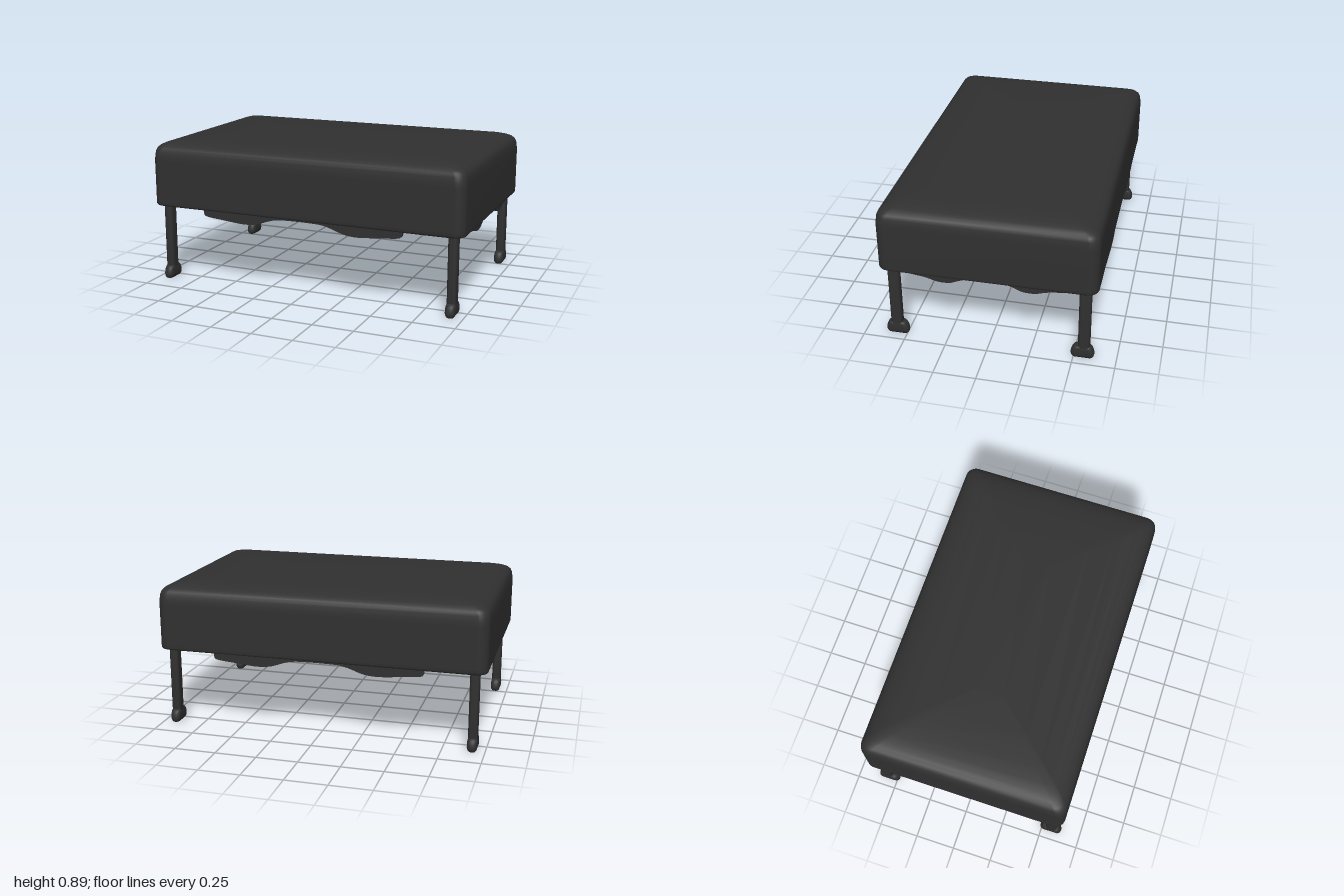
import * as THREE from 'three';

const charcoal = new THREE.MeshStandardMaterial({ color: 0x303030 });
charcoal.name = 'charcoal';

// Closed solid from stacked rounded rectangles: each ring is [halfX, halfZ, y, cornerRadius]
function loft(rings, seg = 6) {
  const pos = [], index = [];
  const n = 4 * (seg + 1);
  for (const [hx, hz, y, r] of rings) {
    for (let q = 0; q < 4; q++) {
      const sx = q === 0 || q === 3 ? 1 : -1, sz = q < 2 ? 1 : -1;
      for (let i = 0; i <= seg; i++) {
        const a = (q + i / seg) * Math.PI / 2;
        pos.push(sx * (hx - r) + r * Math.cos(a), y, sz * (hz - r) + r * Math.sin(a));
      }
    }
  }
  const last = rings.length - 1;
  for (let k = 0; k < last; k++) {
    for (let i = 0; i < n; i++) {
      const a = k * n + i, b = k * n + (i + 1) % n;
      index.push(a, a + n, b, b, a + n, b + n);
    }
  }
  const low = pos.length / 3;
  pos.push(0, rings[0][2], 0, 0, rings[last][2], 0);
  for (let i = 0; i < n; i++) {
    const j = (i + 1) % n;
    index.push(low, i, j, low + 1, last * n + j, last * n + i);
  }
  const g = new THREE.BufferGeometry();
  g.setAttribute('position', new THREE.Float32BufferAttribute(pos, 3));
  g.setIndex(index);
  g.computeVertexNormals();
  return g;
}

// Wavy apron plate, mirrored about its middle; points run from the centre outwards
function apron(points, thickness) {
  const half = new THREE.SplineCurve(points.map(([x, y]) => new THREE.Vector2(x, y))).getPoints(24);
  const s = new THREE.Shape();
  const end = half[half.length - 1].x;
  s.moveTo(-end, 0.5);
  for (let i = half.length - 1; i > 0; i--) s.lineTo(-half[i].x, half[i].y);
  for (const p of half) s.lineTo(p.x, p.y);
  s.lineTo(end, 0.5);
  s.closePath();
  const g = new THREE.ExtrudeGeometry(s, { depth: thickness, bevelEnabled: false });
  g.translate(0, 0, -thickness / 2);
  return g;
}

export function createModel() {
  const model = new THREE.Group();
  const add = (name, geometry, x = 0, y = 0, z = 0, turn = 0) => {
    const mesh = new THREE.Mesh(geometry, charcoal);
    mesh.name = name;
    mesh.position.set(x, y, z);
    mesh.rotation.y = turn;
    model.add(mesh);
  };

  // Upholstered block with a gently crowned top: [inset, y]
  const profile = [
    [0.04, 0.477], [0.012, 0.477], [0.004, 0.481], [0, 0.49], [0, 0.51], [0, 0.76], [0.002, 0.79],
    [0.006, 0.82], [0.014, 0.84], [0.03, 0.856], [0.055, 0.868], [0.09, 0.878],
    [0.14, 0.885], [0.22, 0.89], [0.36, 0.894], [0.55, 0.895],
  ];
  add('cushion', loft(profile.map(([d, y]) =>
    [1 - d, 0.636 - d, y, Math.max(0.06 - d * 0.1, 0.01)]), 8));

  // Wavy aprons hanging below the four sides
  const longApron = apron([[0, 0.473], [0.13, 0.47], [0.2, 0.455], [0.28, 0.428], [0.37, 0.419],
    [0.5, 0.43], [0.62, 0.442], [0.64, 0.462]], 0.026);
  const shortApron = apron([[0, 0.477], [0.1, 0.475], [0.16, 0.458], [0.21, 0.438], [0.28, 0.436],
    [0.35, 0.455], [0.45, 0.469], [0.54, 0.481]], 0.024);
  for (const s of [1, -1]) {
    add(s > 0 ? 'frontApron' : 'backApron', longApron, 0, 0, s * 0.616);
    add(s > 0 ? 'leftApron' : 'rightApron', shortApron, s * 0.968, 0, 0, Math.PI / 2);
  }

  // Four slim legs, each ending in a broad flared foot
  const leg = loft([[0.028, 0.035, 0.05, 0.02], [0.028, 0.035, 0.49, 0.02]]);
  const foot = loft([
    [0.01, 0.052, 0.002, 0.009], [0.02, 0.06, 0.005, 0.018], [0.027, 0.067, 0.016, 0.024],
    [0.03, 0.069, 0.03, 0.026], [0.03, 0.066, 0.05, 0.026], [0.029, 0.058, 0.07, 0.025],
    [0.026, 0.05, 0.08, 0.024], [0.02, 0.035, 0.084, 0.018],
  ]);
  for (const x of [0.925, -0.925]) {
    for (const z of [0.56, -0.56]) {
      const side = (z > 0 ? 'front' : 'back') + (x > 0 ? 'Left' : 'Right');
      add(side + 'Leg', leg, x, 0, z);
      add(side + 'Foot', foot, x, 0, z > 0 ? 0.557 : -0.552);
    }
  }
  return model;
}
